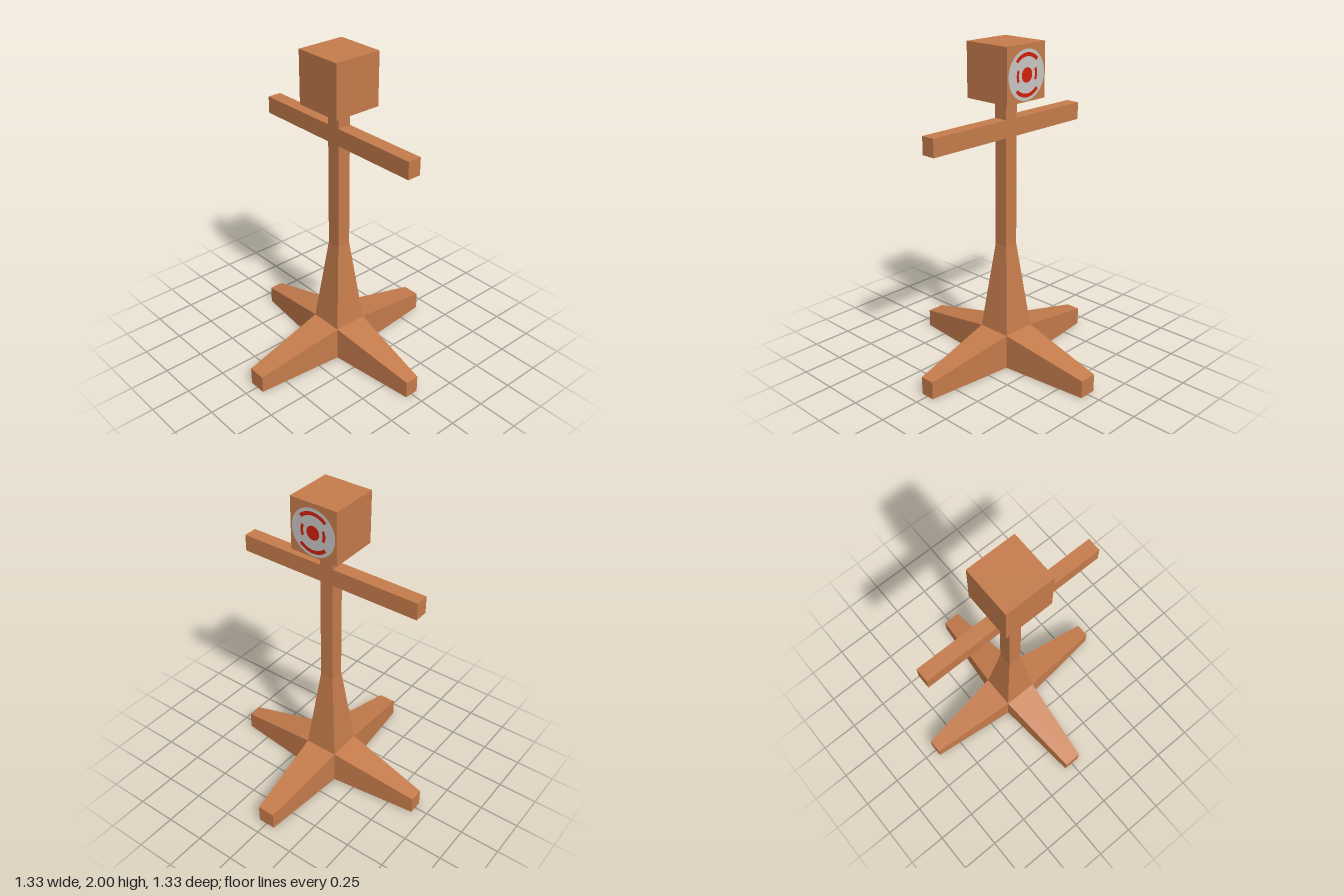
import * as THREE from 'three';

const wood = new THREE.MeshStandardMaterial({ color: 0xc67c4c });
wood.name = 'warm wood';
const grey = new THREE.MeshStandardMaterial({ color: 0xcac8c6 });
grey.name = 'light grey paint';
const red = new THREE.MeshStandardMaterial({ color: 0xd4200c });
red.name = 'red paint';

function add(parent, name, geometry, material = wood) {
  const mesh = new THREE.Mesh(geometry, material);
  mesh.name = name;
  parent.add(mesh);
  return mesh;
}

// Box given by its limits on each axis
function block([x0, x1], [y0, y1], [z0, z1]) {
  return new THREE.BoxGeometry(x1 - x0, y1 - y0, z1 - z0)
    .translate((x0 + x1) / 2, (y0 + y1) / 2, (z0 + z1) / 2);
}

// Scale the corners lying beyond a limit on one axis
function taper(geometry, axis, limit, sx, sy, sz) {
  const p = geometry.attributes.position;
  const v = new THREE.Vector3();
  for (let i = 0; i < p.count; i++) {
    v.fromBufferAttribute(p, i);
    if (v[axis] > limit) p.setXYZ(i, v.x * sx, v.y * sy, v.z * sz);
  }
  geometry.computeVertexNormals();
  return geometry;
}

export function createModel() {
  const model = new THREE.Group();
  model.name = 'trainingPost';

  // Cross-shaped base: a core and four sloping feet
  const C = 0.108, H = 0.222;
  add(model, 'baseCore', block([-C, C], [0, H], [-C, C]));
  const feet = ['leftFoot', 'backFoot', 'rightFoot', 'frontFoot'];
  feet.forEach((name, i) => {
    const endWidth = i % 2 ? 0.045 : 0.056;
    const foot = taper(block([C, 0.665], [0, H], [-C, C]), 'x', 0.3, 1, 0.5, endWidth / C);
    add(model, name, foot).rotation.y = i * Math.PI / 2;
  });

  // Post: flared lower part and straight shaft
  const S = 0.044;
  add(model, 'postFlare', taper(block([-C, C], [H, 0.775], [-C, C]), 'y', 0.5, S / C, 1, S / C));
  add(model, 'postShaft', block([-S, S], [0.775, 1.675], [-S, S]));

  // Arms, flush with the shaft
  add(model, 'frontArm', block([-S, S], [1.45, 1.557], [S, 0.602]));
  add(model, 'backArm', block([-S, S], [1.45, 1.557], [-0.602, -S]));

  // Head block
  const K = 0.156;
  add(model, 'head', block([-K, K], [1.675, 2], [-K, K]));

  // Painted target on the left side of the head
  const target = new THREE.Group();
  target.name = 'target';
  target.position.set(K, 1.828, 0);
  target.rotation.y = Math.PI / 2;
  model.add(target);
  add(target, 'targetDisc', new THREE.CircleGeometry(0.146, 40), grey).position.z = 0.003;
  add(target, 'bullseye', new THREE.CircleGeometry(0.043, 28), red).position.z = 0.006;
  const arc = (name, inner, outer, middle, spread) => {
    const g = new THREE.RingGeometry(inner, outer, 20, 1, middle - spread, spread * 2);
    add(target, name, g, red).position.z = 0.006;
  };
  for (const s of [1, -1]) {
    arc(s > 0 ? 'upperArc' : 'lowerArc', 0.104, 0.126, s * Math.PI / 2, 0.8);
    arc(s > 0 ? 'backArc' : 'frontArc', 0.066, 0.084, s > 0 ? 0 : Math.PI, 0.45);
  }
  return model;
}
